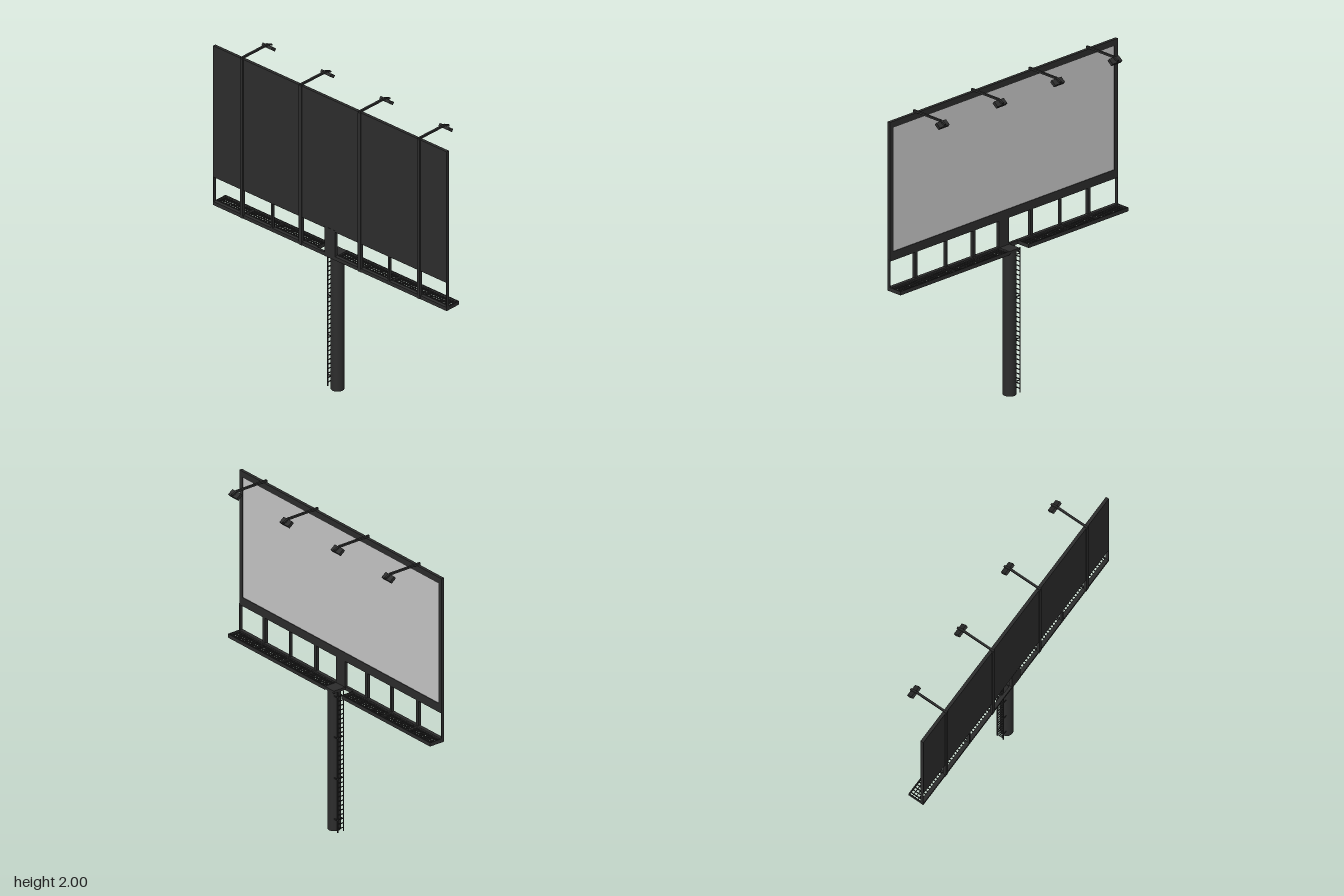
import * as THREE from 'three';

const steel = new THREE.MeshStandardMaterial({ color: 0x2d2d2d });
steel.name = 'dark steel';
const poster = new THREE.MeshStandardMaterial({ color: 0xcacaca });
poster.name = 'blank grey poster';

export function createModel() {
  const model = new THREE.Group();
  model.name = 'billboard';

  // Box given by its min and max on each axis
  function box(parent, name, [x0, x1], [y0, y1], [z0, z1], material = steel) {
    const mesh = new THREE.Mesh(new THREE.BoxGeometry(x1 - x0, y1 - y0, z1 - z0), material);
    mesh.position.set((x0 + x1) / 2, (y0 + y1) / 2, (z0 + z1) / 2);
    mesh.name = name;
    parent.add(mesh);
    return mesh;
  }
  const around = (c, w) => [c - w / 2, c + w / 2];
  function group(name) {
    const g = new THREE.Group();
    g.name = name;
    model.add(g);
    return g;
  }

  const half = 0.943;
  const postZ = [-0.71, -0.235, 0.242, 0.72];

  // Main pole and its cap
  const pole = new THREE.Mesh(new THREE.CylinderGeometry(0.041, 0.041, 0.925, 20), steel);
  pole.position.set(-0.06, 0.4625, 0);
  pole.name = 'pole';
  model.add(pole);
  box(model, 'poleCap', [-0.105, -0.02], [0.915, 0.932], [-0.045, 0.04]);
  box(model, 'centreColumn', [-0.128, -0.107], [0.91, 1.11], [-0.042, 0.042]);

  // Display board with raised frame and poster face
  const board = group('displayBoard');
  box(board, 'backPanel', [-0.127, -0.113], [1.1, 1.985], [-half, half]);
  box(board, 'posterFace', [-0.113, -0.111], [1.15, 1.955], [-0.92, 0.92], poster);
  box(board, 'frameTop', [-0.127, -0.107], [1.948, 1.988], [-half, half]);
  box(board, 'frameBottom', [-0.127, -0.107], [1.1, 1.157], [-half, half]);
  for (const s of [-1, 1]) {
    box(board, 'frameSide', [-0.127, -0.107], [1.1, 1.988], around(s * 0.928, 0.03));
  }

  // Posts behind the board, with lamp arms reaching forward
  for (const z of postZ) {
    const lamp = group('postAndLamp');
    box(lamp, 'rearPost', [-0.133, -0.126], [0.93, 1.985], around(z, 0.022));
    box(lamp, 'lowerPost', [-0.13, -0.112], [0.91, 1.11], around(z, 0.022));
    box(lamp, 'lampStem', [-0.133, -0.121], [1.96, 2.0], around(z, 0.013));
    box(lamp, 'lampArm', [-0.133, 0.098], [1.988, 2.0], around(z, 0.013));
    const neck = box(lamp, 'lampNeck', [0.085, 0.133], [1.983, 1.993], around(z, 0.013));
    neck.rotation.z = -0.4;
    const head = box(lamp, 'lampHead', [0.086, 0.126], [1.963, 1.983], around(z, 0.08));
    head.rotation.z = -0.65;
  }

  // Thin hangers between board and walkway
  for (const z of [-0.47, 0.475]) {
    box(model, 'hanger', [-0.127, -0.107], [0.91, 1.11], around(z, 0.011));
  }
  for (const z of [-0.941, 0.941]) {
    box(model, 'endHanger', [-0.127, -0.107], [0.91, 1.11], around(z, 0.005));
  }

  // Walkway: rear beam and two grated platforms, leaving a ladder opening
  const walkway = group('walkway');
  box(walkway, 'rearBeam', [-0.127, -0.11], [0.91, 0.934], [-half, half]);
  for (const [z0, z1] of [[-half, -0.118], [0.038, half]]) {
    box(walkway, 'outerRail', [-0.025, -0.019], [0.91, 0.934], [z0, z1]);
    box(walkway, 'innerRail', [-0.111, -0.103], [0.91, 0.934], [z0, z1]);
    for (const z of [z0 + 0.003, z1 - 0.003]) {
      box(walkway, 'endRail', [-0.11, -0.02], [0.91, 0.934], around(z, 0.006));
    }
    for (const x of [-0.084, -0.064, -0.044]) {
      box(walkway, 'longGrateBar', around(x, 0.004), [0.918, 0.926], [z0, z1]);
    }
    const count = Math.round((z1 - z0) / 0.02);
    for (let i = 1; i < count; i++) {
      const z = z0 + ((z1 - z0) * i) / count;
      box(walkway, 'crossGrateBar', [-0.108, -0.022], [0.918, 0.926], around(z, 0.005));
    }
  }
  for (const z of [...postZ, -0.475, 0.475]) {
    box(walkway, 'crossBeam', [-0.12, -0.021], [0.911, 0.924], around(z, 0.012));
  }

  // Ladder beside the pole
  const ladder = group('ladder');
  for (const x of [-0.079, -0.036]) {
    box(ladder, 'ladderRail', around(x, 0.006), [0, 0.925], around(-0.063, 0.006));
    for (const y of [0.08, 0.35, 0.62, 0.89]) {
      box(ladder, 'ladderBracket', around(x, 0.004), around(y, 0.006), [-0.063, -0.03]);
    }
  }
  for (let i = 0; i < 30; i++) {
    box(ladder, 'rung', [-0.079, -0.036], around(0.025 + i * 0.03, 0.005), around(-0.063, 0.005));
  }

  return model;
}
